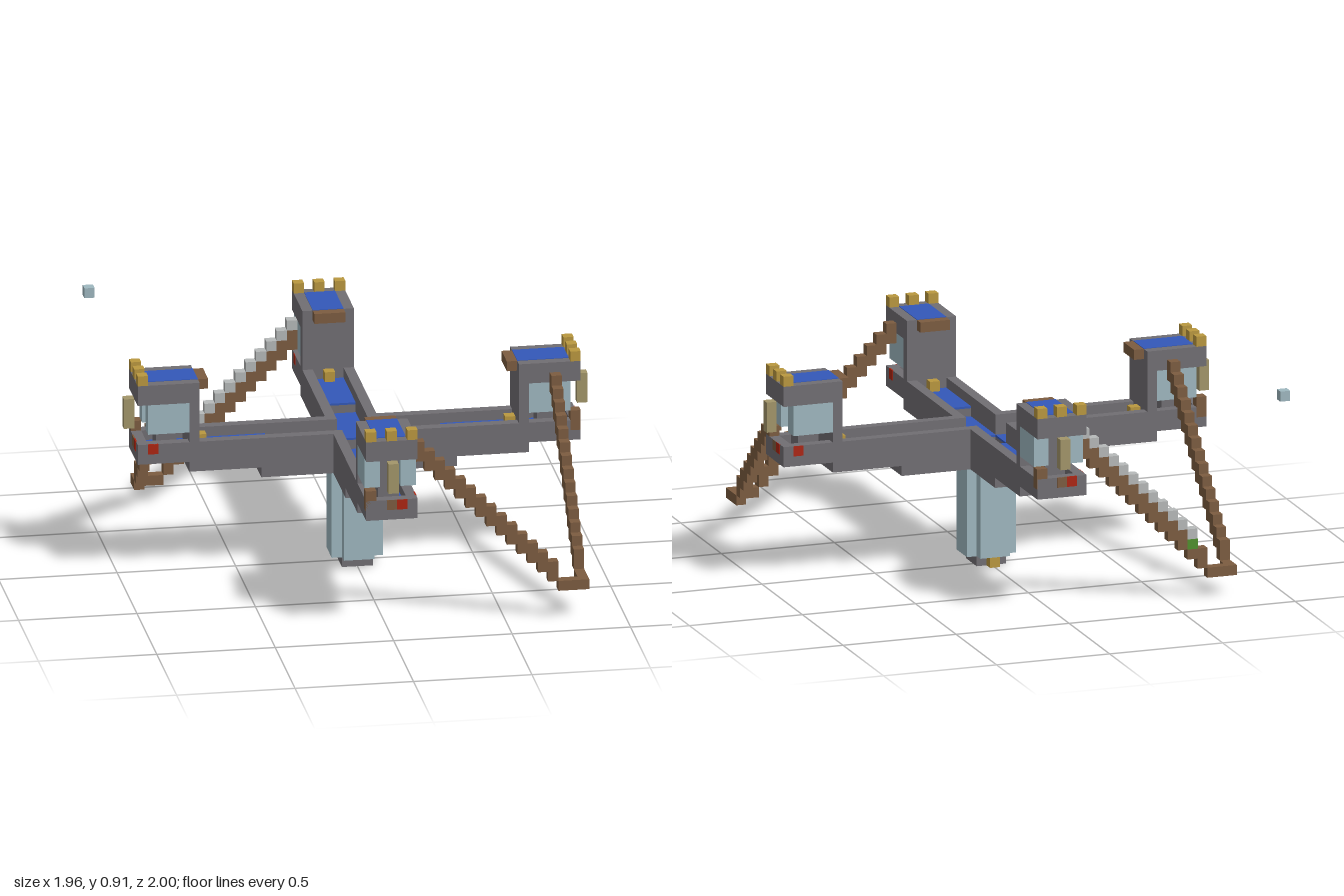
import * as THREE from 'three';

// One block; every size below is counted in blocks.
const U = 2 / 46;

function paint(name, color) {
  const m = new THREE.MeshStandardMaterial({ color });
  m.name = name;
  return m;
}

export function createModel() {
  const stone = paint('stone grey', 0x716e73);
  const blue = paint('carpet blue', 0x3358b8);
  const gold = paint('gold', 0xba983f);
  const glass = paint('pale glass', 0x9fb8c0);
  const wood = paint('wood brown', 0x7c5c40);
  const tan = paint('banner tan', 0xa3966a);
  const red = paint('red', 0xad2410);
  const silver = paint('silver', 0xb6b9b9);
  const green = paint('green', 0x4f8f2c);

  const model = new THREE.Group();
  const body = new THREE.Group();
  body.name = 'crossBody';
  body.position.z = U / 2;
  model.add(body);

  // Box given by its two opposite corners
  function box(parent, name, mat, x0, x1, y0, y1, z0, z1) {
    const mesh = new THREE.Mesh(
      new THREE.BoxGeometry((x1 - x0) * U, (y1 - y0) * U, (z1 - z0) * U), mat);
    mesh.position.set((x0 + x1) / 2 * U, (y0 + y1) / 2 * U, (z0 + z1) / 2 * U);
    mesh.name = name;
    parent.add(mesh);
  }

  // One arm pointing to +z, with its tower
  function makeArm() {
    const arm = new THREE.Group();
    arm.name = 'arm';
    // Side walls with a stepped underside
    for (const [z0, z1, y] of [[1.5, 9.5, 10], [9.5, 16.5, 11], [16.5, 21.5, 12]]) {
      for (const x of [-2, 2]) box(arm, 'armWall', stone, x - 0.5, x + 0.5, y, 14, z0, z1);
    }
    box(arm, 'endWall', stone, -1.5, 1.5, 12, 14, 20.5, 21.5);
    // Stepped floor and its carpet
    box(arm, 'innerFloor', stone, -1.5, 1.5, 10, 11.8, 1.5, 8.5);
    box(arm, 'floorStep', stone, -1.5, 1.5, 10, 12.8, 8.5, 9.5);
    box(arm, 'middleFloor', stone, -1.5, 1.5, 11, 12.8, 9.5, 16.5);
    box(arm, 'outerFloor', stone, -1.5, 1.5, 12, 12.8, 16.5, 20.5);
    box(arm, 'innerCarpet', blue, -1.5, 1.5, 11.8, 12, 1.5, 8.5);
    box(arm, 'outerCarpet', blue, -1.5, 1.5, 12.8, 13, 8.5, 20.5);

    // Tower back wall, pedestal, glass and roof
    box(arm, 'towerWall', stone, -2.5, 2.5, 13, 18, 15.5, 16.5);
    box(arm, 'pedestal', stone, -1, 1, 13, 18, 17.5, 19.5);
    for (const s of [-1, 1]) {
      box(arm, 'towerGlass', glass, s * 1.75 - 0.75, s * 1.75 + 0.75, 15, 18, 16.5, 20.5);
    }
    box(arm, 'towerRoof', stone, -2.5, 2.5, 18, 20, 15.5, 21.5);
    box(arm, 'roofCarpet', blue, -1.5, 1.5, 19.9, 20.05, 15.5, 20.5);
    box(arm, 'roofLedge', wood, -1.5, 1.5, 19, 20, 14.5, 15.5);
    for (const x of [-2, 0, 2]) box(arm, 'battlement', gold, x - 0.5, x + 0.5, 20, 21, 20.5, 21.5);
    box(arm, 'banner', tan, -0.5, 0.5, 15, 18, 21.5, 22.5);
    box(arm, 'doorstep', gold, -0.5, 0.5, 13, 14, 14.5, 15.5);

    // Coloured blocks at the tower foot
    box(arm, 'endRedBlock', red, 0.5, 1.5, 13, 14, 21.4, 21.55);
    box(arm, 'endWoodBlock', wood, -0.5, 0.5, 13, 14, 21.4, 21.55);
    box(arm, 'sideRedBlock', red, 2.4, 2.55, 13, 14, 19.5, 20.5);
    box(arm, 'sideWoodBlock', wood, -2.55, -1.5, 13, 15, 20.5, 21.5);
    return arm;
  }
  for (let i = 0; i < 4; i++) {
    const arm = makeArm();
    arm.rotation.y = i * Math.PI / 2;
    body.add(arm);
  }

  // Crossing floor and hanging pillar with a plus-shaped section
  box(body, 'crossingFloor', stone, -1.5, 1.5, 10, 10.6, -1.5, 1.5);
  box(body, 'crossingRedFloor', red, -1.5, 1.5, 10.6, 10.8, -1.5, 1.5);
  box(body, 'pillarWide', glass, -2.5, 2.5, 1, 10, -1.5, 1.5);
  box(body, 'pillarDeep', glass, -1.5, 1.5, 1, 10, -2.5, 2.5);
  box(body, 'pillarFoot', stone, -1.5, 1.5, 0, 1, -1.5, 1.5);
  box(body, 'footBlock', gold, -0.5, 0.5, 0, 1, -2.5, -1.5);

  // Stepped ropes: a is the distance along the rope, b the fixed coordinate
  function block(name, mat, alongX, sign, a, b, y0, y1) {
    const x = sign * (alongX ? a : b);
    const z = sign * (alongX ? b : a);
    box(body, name, mat, x - 0.5, x + 0.5, y0, y1, z - 0.5, z + 0.5);
  }
  function rope(alongX, sign, b, top, last, end, low) {
    for (let a = 3; a <= end; a++) {
      const y = a <= last ? top - (a - 3) : low + 1;
      block('ropeStep', wood, alongX, sign, a, b, a <= last ? y - 2 : low, y);
    }
  }
  rope(true, 1, 19, 19, 16, 19, 3);
  rope(false, 1, 19, 19, 16, 18, 3);
  rope(true, -1, 19, 17, 15, 18, 2);
  rope(false, -1, 18, 19, 17, 18, 2);

  // Silver treads on the back rope, with one green block at their foot
  for (let a = 3; a <= 14; a++) block('silverTread', silver, true, -1, a, 19, 20 - a, 21 - a);
  box(body, 'greenBlock', green, -14.53, -13.47, 5, 6, -19.53, -18.47);

  // Loose floating block
  box(body, 'floatingBlock', glass, -22.5, -21.5, 20, 21, -23.5, -22.5);
  return model;
}
